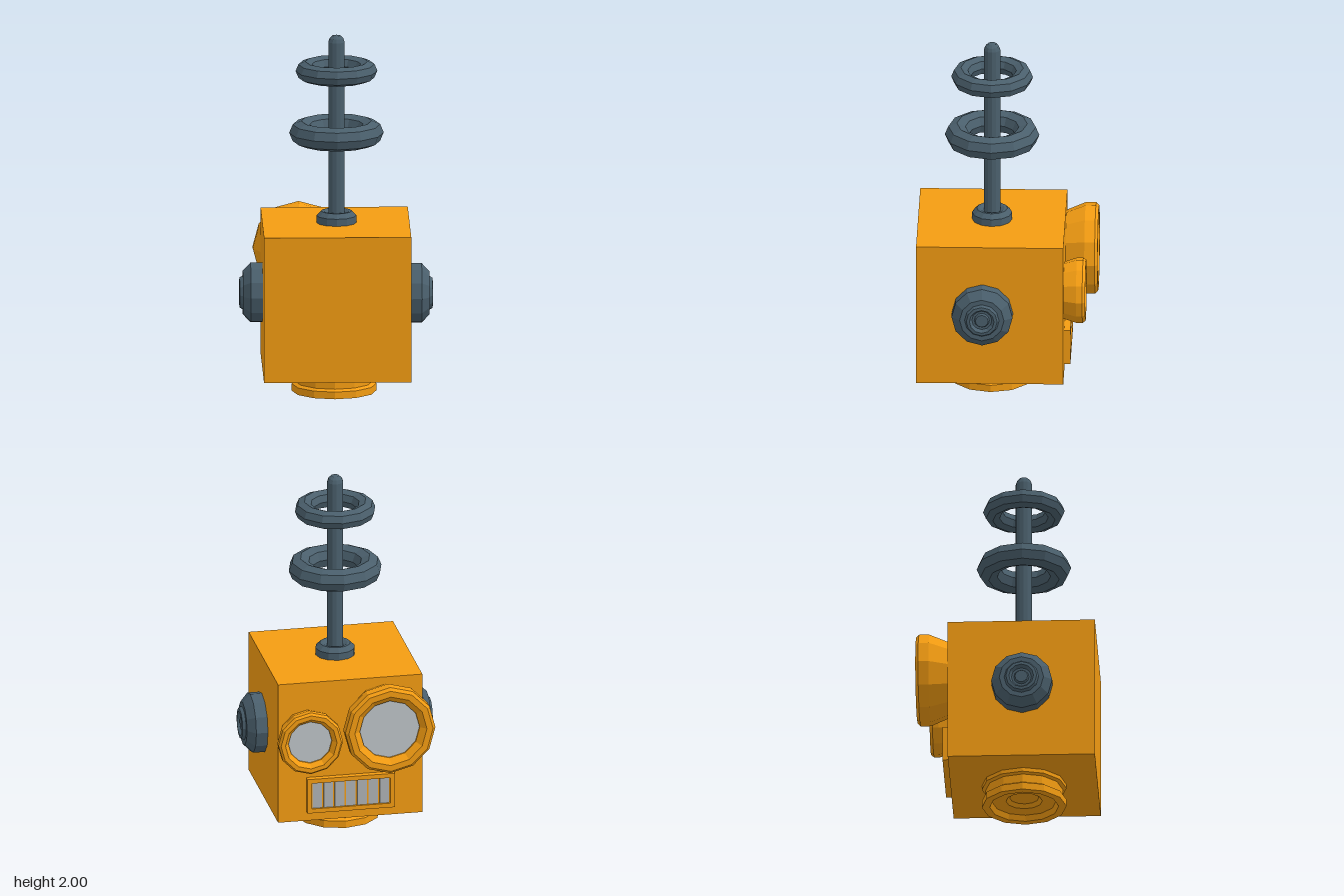
import * as THREE from 'three';

const mat = (color) => new THREE.MeshStandardMaterial({ color, flatShading: true, side: THREE.DoubleSide });
const SIDES = 12;

export function createModel() {
  const model = new THREE.Group();
  const orange = mat(0xf39c12), dark = mat(0x4a5f6c), pale = mat(0xbdc3c7), teethGrey = mat(0xaeb2b4);

  const add = (name, geometry, material, x, y, z, parent = model) => {
    const mesh = new THREE.Mesh(geometry, material);
    mesh.name = name;
    mesh.position.set(x, y, z);
    parent.add(mesh);
    return mesh;
  };
  // Faceted turned part; each profile point is [radius, height]
  const turned = (profile) =>
    new THREE.LatheGeometry(profile.map(([r, h]) => new THREE.Vector2(r, h)), SIDES);

  // Head block
  add('head', new THREE.BoxGeometry(0.81, 0.815, 0.81), orange, -0.01, 0.5375, 0.085);

  // Grooved neck with a hollowed underside
  add('neck', turned([
    [0, 0.055], [0.08, 0.055], [0.1, 0.035], [0.175, 0.03], [0.19, 0], [0.233, 0], [0.233, 0.04],
    [0.213, 0.052], [0.213, 0.1], [0.233, 0.108], [0.233, 0.135],
  ]), orange, -0.02, 0, 0.085);

  // Antenna: collar, round-tipped rod and two floating rings
  const antenna = new THREE.Group();
  antenna.name = 'antenna';
  antenna.position.set(-0.007, 0, 0.083);
  model.add(antenna);
  add('antennaCollar', turned([
    [0.11, 0.94], [0.11, 0.985], [0.085, 1.01], [0.07, 1.01], [0.045, 0.995],
  ]), dark, 0, 0, 0, antenna);
  add('antennaRod', turned([
    [0.045, 0.94], [0.045, 1.96], [0.038, 1.98], [0.023, 1.995], [0, 2],
  ]), dark, 0, 0, 0, antenna);
  for (const [name, y, outer, tube] of [['lowerRing', 1.45, 0.26, 0.066], ['upperRing', 1.797, 0.225, 0.053]]) {
    const ring = new THREE.TorusGeometry(outer - tube, tube, 8, SIDES);
    ring.rotateX(Math.PI / 2);
    add(name, ring, dark, 0, y, 0, antenna);
  }

  // Ears: stepped caps with a small knob inside a dished centre
  const earProfile = [
    [0.168, -0.01], [0.168, 0.065], [0.122, 0.108], [0.095, 0.108], [0.085, 0.125],
    [0.068, 0.127], [0.055, 0.105], [0.042, 0.105], [0.035, 0.118], [0, 0.118],
  ];
  for (const [name, x, z, side] of [['leftEar', 0.395, 0.125, 1], ['rightEar', -0.415, 0.09, -1]]) {
    const ear = turned(earProfile);
    ear.rotateZ(-side * Math.PI / 2);
    add(name, ear, dark, x, 0.555, z);
  }

  // Eyes: flared sockets with recessed lenses, facing -z
  const eyes = [
    ['largeEye', -0.202, 0.692, 0.253, 0.205, 0.105, 0.178, 0.168],
    ['smallEye', 0.233, 0.626, 0.181, 0.155, 0.07, 0.12, 0.122],
  ];
  for (const [name, x, y, r, baseR, flare, depth, lensR] of eyes) {
    const eye = new THREE.Group();
    eye.name = name;
    eye.position.set(x, y, -0.32);
    eye.rotation.x = -Math.PI / 2;
    model.add(eye);
    add('socket', turned([
      [baseR, -0.01], [r, flare], [r, depth - 0.016], [r * 0.935, depth],
      [r * 0.8, depth], [lensR, depth - 0.03], [lensR, depth - 0.06],
    ]), orange, 0, 0, 0, eye);
    add('lens', turned([[lensR, 0], [0, 0]]), pale, 0, depth - 0.04, 0, eye);
  }

  // Mouth: a raised frame around a row of teeth
  const frame = new THREE.Shape();
  frame.moveTo(-0.245, -0.1).lineTo(0.245, -0.1).lineTo(0.245, 0.1).lineTo(-0.245, 0.1).closePath();
  const opening = new THREE.Path();
  opening.moveTo(-0.22, -0.075).lineTo(-0.22, 0.075).lineTo(0.22, 0.075).lineTo(0.22, -0.075).closePath();
  frame.holes.push(opening);
  const mouth = new THREE.Group();
  mouth.name = 'mouth';
  mouth.position.set(-0.008, 0.285, -0.355);
  model.add(mouth);
  add('mouthFrame', new THREE.ExtrudeGeometry(frame, { depth: 0.04, bevelEnabled: false }), orange, 0, 0, 0, mouth);
  add('mouthBack', new THREE.BoxGeometry(0.44, 0.15, 0.02), orange, 0, 0, 0.025, mouth);
  const count = 7, pitch = 0.44 / count;
  for (let i = 0; i < count; i++) {
    add('tooth', new THREE.BoxGeometry(pitch * 0.84, 0.148, 0.02), teethGrey, (i - (count - 1) / 2) * pitch, 0, 0.018, mouth);
  }

  return model;
}
